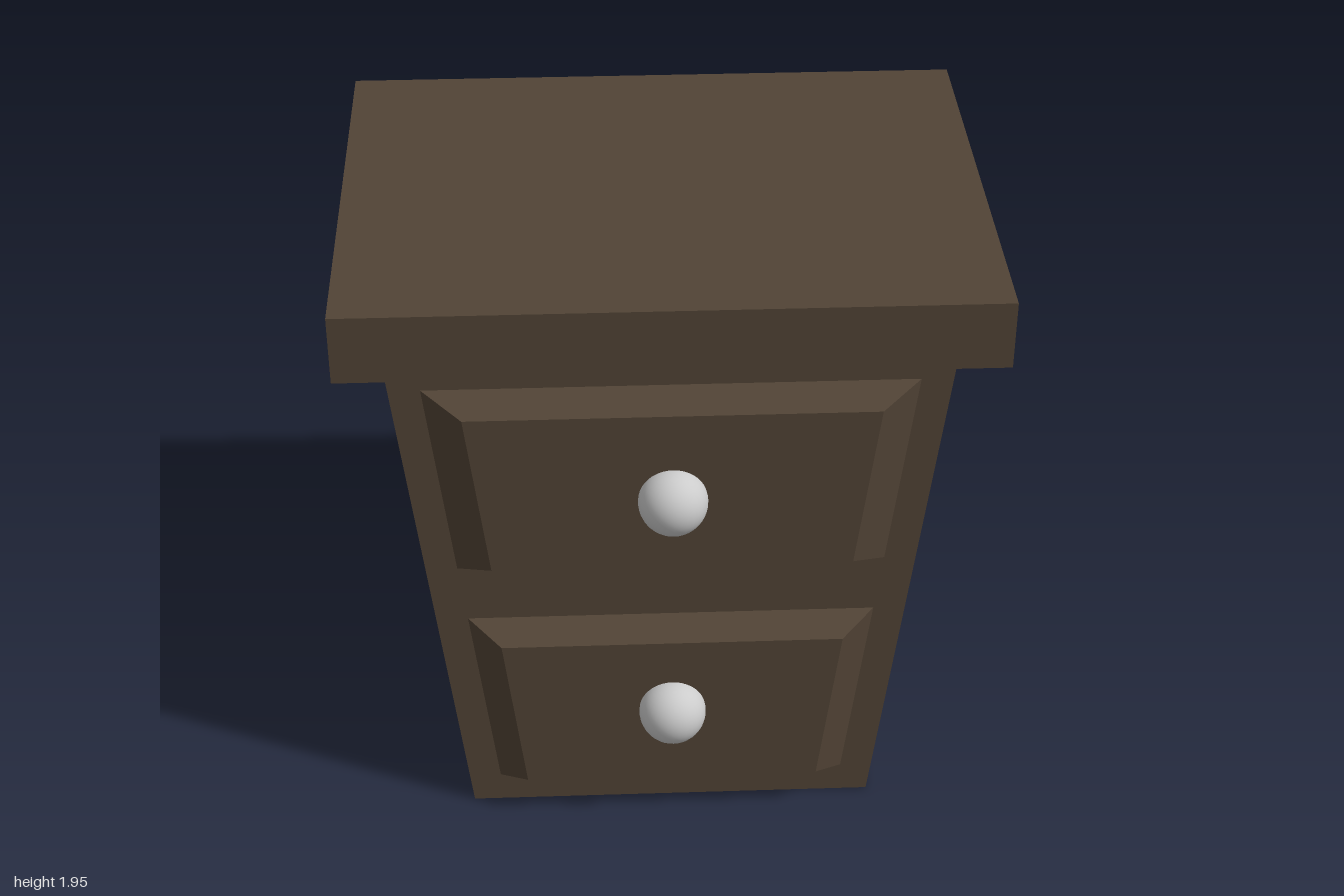
import * as THREE from 'three';

const wood = new THREE.MeshStandardMaterial({ color: 0x524436, flatShading: true });
const metal = new THREE.MeshStandardMaterial({ color: 0xcccccc });

// Block between two trapezoids, each given as { z, y0, y1, w0, w1 } (w = half width at y0 and y1)
function taperedBlock(name, back, front) {
  const geometry = new THREE.BoxGeometry(2, 2, 2);
  const p = geometry.attributes.position;
  for (let i = 0; i < p.count; i++) {
    const s = p.getZ(i) > 0 ? front : back;
    const top = p.getY(i) > 0;
    p.setXYZ(i, Math.sign(p.getX(i)) * (top ? s.w1 : s.w0), top ? s.y1 : s.y0, s.z);
  }
  geometry.computeVertexNormals();
  const mesh = new THREE.Mesh(geometry, wood);
  mesh.name = name;
  return mesh;
}

export function createModel() {
  const model = new THREE.Group();
  model.name = 'nightstand';

  // Cabinet body, narrowing towards the floor
  const section = { y0: 0, y1: 1.73, w0: 0.655, w1: 0.86 };
  model.add(taperedBlock('body', { ...section, z: -0.715 }, { ...section, z: 0.61 }));

  // Overhanging top slab
  const top = new THREE.Mesh(new THREE.BoxGeometry(2, 0.22, 1.535), wood);
  top.name = 'top';
  top.position.set(0, 1.84, -0.0525);
  model.add(top);

  // Bevelled drawer fronts with round knobs
  const drawers = [
    { name: 'upperDrawer', knobY: 1.275,
      outer: { z: 0.61, y0: 0.965, y1: 1.63, w0: 0.67, w1: 0.75 },
      inner: { z: 0.7, y0: 1.02, y1: 1.575, w0: 0.56, w1: 0.628 } },
    { name: 'lowerDrawer', knobY: 0.448,
      outer: { z: 0.61, y0: 0.105, y1: 0.765, w0: 0.565, w1: 0.645 },
      inner: { z: 0.7, y0: 0.157, y1: 0.713, w0: 0.473, w1: 0.54 } },
  ];
  for (const d of drawers) {
    const drawer = new THREE.Group();
    drawer.name = d.name;
    drawer.add(taperedBlock('drawerFront', d.outer, d.inner));
    const knob = new THREE.Mesh(new THREE.SphereGeometry(0.107, 32, 20), metal);
    knob.name = 'knob';
    knob.position.set(0, d.knobY, 0.713);
    drawer.add(knob);
    model.add(drawer);
  }
  return model;
}
